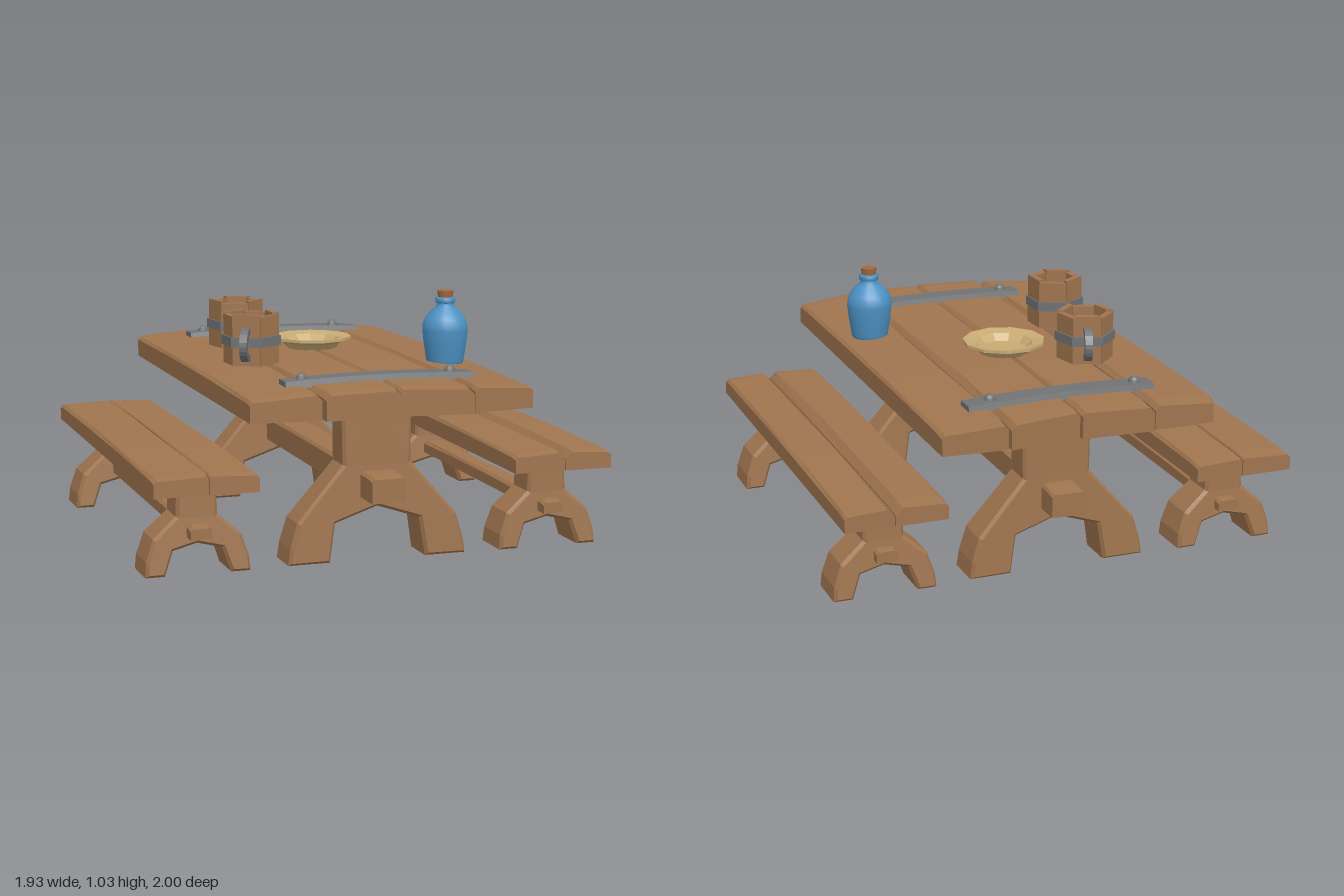
import * as THREE from 'three';

const mat = (name, color, extra = {}) => {
  const m = new THREE.MeshStandardMaterial({ color, ...extra });
  m.name = name;
  return m;
};

export function createModel() {
  const wood = mat('wood', 0xa0754f, { flatShading: true });
  const iron = mat('iron', 0x707274, { flatShading: true });
  const clay = mat('plate clay', 0xc8ab74, { flatShading: true });
  const blue = mat('blue glass', 0x4c92c4);
  const corkMat = mat('cork', 0xa4683c, { flatShading: true });
  const root = new THREE.Group();
  root.name = 'picnicTable';

  const add = (parent, name, geo, material, x = 0, y = 0, z = 0) => {
    const m = new THREE.Mesh(geo, material);
    m.name = name;
    m.position.set(x, y, z);
    parent.add(m);
    return m;
  };
  const group = (parent, name, x = 0, y = 0, z = 0) => {
    const g = new THREE.Group();
    g.name = name;
    g.position.set(x, y, z);
    parent.add(g);
    return g;
  };

  // Closed solid from equal cross-sections, each counterclockwise seen from +z, ordered back to front
  function loft(sections) {
    const pos = [], n = sections[0].length;
    const tri = (...p) => p.forEach(v => pos.push(...v));
    for (let i = 0; i < sections.length - 1; i++)
      for (let j = 0; j < n; j++) {
        const k = (j + 1) % n, s = sections[i], t = sections[i + 1];
        tri(s[j], s[k], t[k]);
        tri(s[j], t[k], t[j]);
      }
    const b = sections[0], f = sections[sections.length - 1];
    for (let j = 1; j < n - 1; j++) {
      tri(b[0], b[j + 1], b[j]);
      tri(f[0], f[j], f[j + 1]);
    }
    const g = new THREE.BufferGeometry();
    g.setAttribute('position', new THREE.Float32BufferAttribute(pos, 3));
    g.computeVertexNormals();
    return g;
  }

  // Hand-hewn board: back and front give the z of the left and right corner
  function plank({ x0, x1, y0, top, back, front, cl = 0.012, cr = 0.012, cutL = 0, cutR = 0 }) {
    const rows = [0, 0.04, 0.35, 0.65, 0.975, 1];
    return loft(rows.map((t, i) => {
      const end = i === 0 || i === rows.length - 1;
      const a = x0 + (i === 0 ? cutL : 0), b = x1 - (i === 0 ? cutR : 0);
      const lift = end ? -0.006 : 0.008 * Math.sin(Math.PI * t);
      const wob = end ? 0 : 0.004 * Math.sin(i * 2.3 + x0 * 9);
      const p = (x, y) => {
        const u = (x - x0) / (x1 - x0);
        const zb = back[0] + (back[1] - back[0]) * u, zf = front[0] + (front[1] - front[0]) * u;
        return [x, y, zb + (zf - zb) * t];
      };
      const ya = top(a) + lift, yb = top(b) + lift;
      return [p(a, y0), p(b, y0), p(b, yb - cr), p(b - cr + wob, yb), p(a + cl + wob, ya), p(a, ya - cl)];
    }));
  }

  // Trestle leg: mirrored half profile, extruded and flared in depth towards the floor
  function trestle(half, depth, footDepth, height) {
    const pts = [...half.map(([x, y]) => [x, y]), ...half.slice(0, -1).reverse().map(([x, y]) => [-x, y])];
    const shape = new THREE.Shape(pts.map(([x, y]) => new THREE.Vector2(x, y)));
    const bev = 0.012;
    const g = new THREE.ExtrudeGeometry(shape, {
      depth: depth - 2 * bev, bevelEnabled: true, bevelSize: bev, bevelThickness: bev,
      bevelOffset: -bev, bevelSegments: 1,
    });
    g.translate(0, 0, bev - depth / 2);
    const p = g.attributes.position;
    for (let i = 0; i < p.count; i++) {
      const s = Math.max(0, 1 - p.getY(i) / (height * 0.75));
      p.setZ(i, p.getZ(i) * (1 + s * (footDepth / depth - 1)));
    }
    g.computeVertexNormals();
    return g;
  }

  // Table top, crowned slightly across its width
  const crown = x => 0.742 - 0.075 * x * x;
  const table = group(root, 'table');
  [
    { x0: -0.6, x1: -0.315, back: [-0.99, -0.99], front: [0.935, 0.955], cutL: 0.03, cr: 0.02 },
    { x0: -0.306, x1: -0.004, back: [-1, -0.985], front: [0.98, 0.985], cl: 0.02, cr: 0.015 },
    { x0: 0.002, x1: 0.3, back: [-0.97, -1], front: [0.965, 1], cr: 0.022 },
    { x0: 0.31, x1: 0.575, back: [-0.99, -0.97], front: [0.98, 0.94], cl: 0.015 },
  ].forEach((o, i) => add(table, 'tablePlank' + (i + 1), plank({ y0: 0.63, top: crown, ...o }), wood));

  // Table trestles and the beam through them
  const tableLeg = trestle([[0, 0.22], [0.18, 0.16], [0.205, 0], [0.38, 0], [0.37, 0.07], [0.34, 0.17],
    [0.145, 0.395], [0.15, 0.64], [0, 0.64]].reverse(), 0.14, 0.19, 0.64);
  add(table, 'tableLegFront', tableLeg, wood, 0, 0, 0.635);
  add(table, 'tableLegBack', tableLeg, wood, 0, 0, -0.67);
  add(table, 'tableBeam', plank({ x0: -0.075, x1: 0.07, y0: 0.262, top: () => 0.365,
    back: [-0.87, -0.86], front: [0.86, 0.85] }), wood);

  // Benches
  const benchLeg = trestle([[0, 0.125], [0.1, 0.1], [0.135, 0], [0.215, 0], [0.21, 0.06], [0.18, 0.15],
    [0.085, 0.235], [0.08, 0.36], [0, 0.36]].reverse(), 0.155, 0.21, 0.36);
  for (const [name, cx, chamfer] of [['leftBench', 0.745, 0.03], ['rightBench', -0.755, 0.006]]) {
    const bench = group(root, name, cx);
    const seat = { y0: 0.35, top: x => 0.43 - 0.04 * Math.abs(x), back: [-0.92, -0.92], front: [0.88, 0.88] };
    add(bench, 'seatPlankInner', plank({ ...seat, x0: -0.214, x1: 0.004, cr: chamfer }), wood);
    add(bench, 'seatPlankOuter', plank({ ...seat, x0: 0.008, x1: 0.21, cl: chamfer }), wood);
    add(bench, 'benchLegFront', benchLeg, wood, 0, 0, 0.635);
    add(bench, 'benchLegBack', benchLeg, wood, 0, 0, -0.675);
    add(bench, 'benchStretcher', plank({ x0: -0.045, x1: 0.045, y0: 0.153, top: () => 0.203,
      back: [-0.8, -0.8], front: [0.79, 0.78] }), wood);
  }

  // Iron straps with rivets
  for (const [name, z, rivets] of [['strapFront', 0.705, [-0.32, 0.31]], ['strapBack', -0.75, [-0.33, 0.295]]]) {
    const strap = group(root, name, 0, 0, z);
    const g = new THREE.BoxGeometry(0.8, 0.03, 0.1, 8, 1, 1);
    const p = g.attributes.position;
    for (let i = 0; i < p.count; i++) {
      const x = p.getX(i), up = p.getY(i) > 0;
      p.setY(i, crown(x) + p.getY(i) + 0.008);
      if (up) p.setZ(i, p.getZ(i) * 0.84);
    }
    g.computeVertexNormals();
    add(strap, 'bar', g, iron);
    for (const x of rivets)
      add(strap, 'rivet', new THREE.SphereGeometry(0.027, 8, 3, 0, Math.PI * 2, 0, Math.PI / 2), iron, x, crown(x) + 0.02, 0);
  }

  // Mugs: six staves, floor, iron band and handle
  function mug(name, x, z, height, angle) {
    const g = group(root, name, x, 0.745, z);
    g.rotation.y = -angle * Math.PI / 180;
    const section = new THREE.Shape([[0.077, -0.043], [0.103, -0.058], [0.103, 0.058], [0.077, 0.043]]
      .map(([a, b]) => new THREE.Vector2(a, b)));
    for (let i = 0; i < 6; i++) {
      const h = height - (i % 2) * 0.008;
      const stave = new THREE.ExtrudeGeometry(section, { depth: h, bevelEnabled: false });
      stave.rotateX(-Math.PI / 2);
      add(g, 'stave', stave, wood).rotation.y = i * Math.PI / 3;
    }
    add(g, 'mugFloor', new THREE.CylinderGeometry(0.089, 0.089, 0.03, 6), wood, 0, 0.02, 0);
    const ring = [[0.115, 0.078], [0.127, 0.078], [0.127, 0.118], [0.115, 0.118], [0.115, 0.078]];
    add(g, 'band', new THREE.LatheGeometry(ring.map(([a, b]) => new THREE.Vector2(a, b)), 6), iron);
    const c = new THREE.Shape();
    c.absellipse(0.105, 0, 0.082, 0.072, -Math.PI / 2, Math.PI / 2, false);
    c.absellipse(0.105, 0, 0.05, 0.044, Math.PI / 2, -Math.PI / 2, true);
    add(g, 'handle', new THREE.ExtrudeGeometry(c, { depth: 0.032, bevelEnabled: false, curveSegments: 6 }),
      iron, 0, 0.09, -0.016);
  }
  mug('mugBack', -0.29, -0.345, 0.205, -72);
  mug('mugFront', -0.37, 0.17, 0.213, 117);

  const lathe = (pts, n) => new THREE.LatheGeometry(pts.map(([a, b]) => new THREE.Vector2(a, b)), n);

  // Plate
  add(root, 'plate', lathe([[0, 0.742], [0.1, 0.742], [0.128, 0.772], [0.175, 0.788], [0.175, 0.8],
    [0.125, 0.79], [0.097, 0.762], [0, 0.762]], 11), clay, 0, 0, -0.155);

  // Bottle and cork
  const bottle = group(root, 'bottle', 0.44, 0, 0.32);
  add(bottle, 'bottleBody', lathe([[0, 0.715], [0.072, 0.715], [0.08, 0.74], [0.092, 0.82], [0.097, 0.87],
    [0.096, 0.89], [0.086, 0.92], [0.06, 0.95], [0.043, 0.965], [0.036, 0.975], [0.036, 0.985]], 18), blue);
  add(bottle, 'bottleLip', lathe([[0.034, 0.982], [0.042, 0.985], [0.043, 1.003], [0.034, 1.008], [0, 1.008]], 18), blue);
  add(bottle, 'cork', new THREE.CylinderGeometry(0.034, 0.03, 0.034, 10), corkMat, 0, 1.018, 0);

  return root;
}
